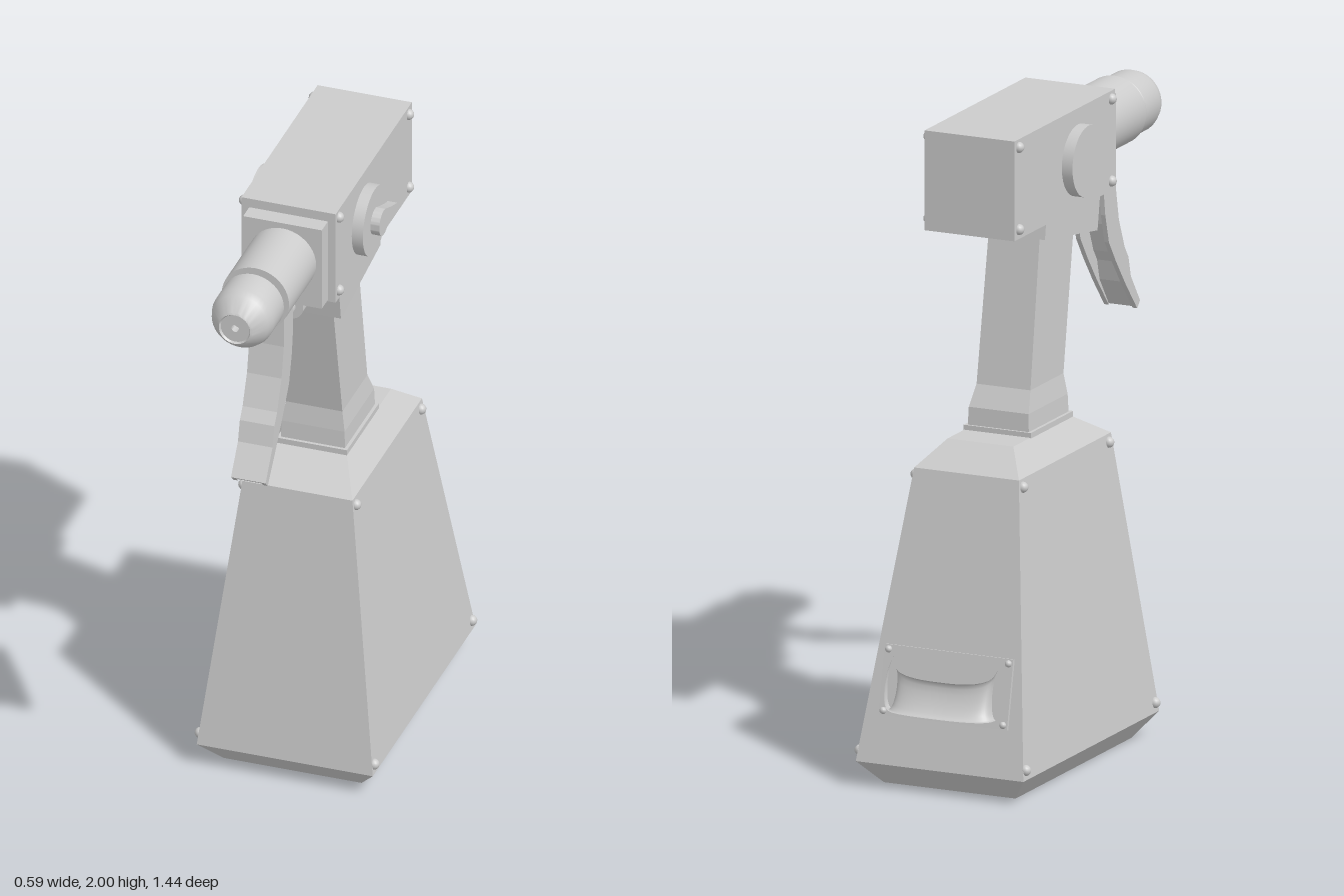
import * as THREE from 'three';
import { toCreasedNormals } from 'three/addons/utils/BufferGeometryUtils.js';

const grey = new THREE.MeshStandardMaterial({ color: 0xcccccc });
const HEAD_Y = 1.845;

export function createModel() {
  const model = new THREE.Group();
  const add = (name, geometry, parent = model) => {
    const mesh = new THREE.Mesh(geometry, grey);
    mesh.name = name;
    parent.add(mesh);
    return mesh;
  };

  // Stack of rectangular sections [y, halfWidth, zBack, zFront]
  const loft = (levels) => {
    const pos = [], idx = [];
    for (const [y, hx, z0, z1] of levels) pos.push(hx, y, z1, hx, y, z0, -hx, y, z0, -hx, y, z1);
    for (let l = 0; l < levels.length - 1; l++) {
      for (let i = 0; i < 4; i++) {
        const a = l * 4 + i, b = l * 4 + (i + 1) % 4;
        idx.push(a, b, b + 4, a, b + 4, a + 4);
      }
    }
    const t = (levels.length - 1) * 4;
    idx.push(0, 2, 1, 0, 3, 2, t, t + 1, t + 2, t, t + 2, t + 3);
    const g = new THREE.BufferGeometry();
    g.setAttribute('position', new THREE.Float32BufferAttribute(pos, 3));
    g.setIndex(idx);
    const flat = g.toNonIndexed();
    flat.computeVertexNormals();
    return flat;
  };

  // Side profile of [z, y] points extruded across x
  const slab = (points, x0, x1) => {
    const shape = new THREE.Shape(points.map(([z, y]) => new THREE.Vector2(z, y)));
    return new THREE.ExtrudeGeometry(shape, { depth: x1 - x0, bevelEnabled: false })
      .rotateY(-Math.PI / 2).translate(x1, 0, 0);
  };

  // Turned part along z from [radius, z] points
  const turned = (points) => toCreasedNormals(
    new THREE.LatheGeometry(points.map(([r, z]) => new THREE.Vector2(r, z)), 40).rotateX(Math.PI / 2), 0.5);

  const screws = new THREE.Group();
  screws.name = 'screws';
  model.add(screws);
  const screw = (x, y, z, r = 0.017) =>
    add('screw', new THREE.SphereGeometry(r, 14, 10), screws).position.set(x, y, z);

  // Tank and handle
  add('tank', loft([
    [0, 0.22, -0.59, 0.2], [0.075, 0.28, -0.66, 0.27],
    [0.955, 0.175, -0.475, 0.155], [1.03, 0.11, -0.38, 0.02]]));
  add('handleCollar', loft([[1.02, 0.112, -0.265, 0.025], [1.045, 0.112, -0.265, 0.025]]));
  add('handle', loft([
    [1.04, 0.102, -0.258, 0.015], [1.1, 0.1, -0.255, 0.012],
    [1.165, 0.09, -0.222, 0.004], [1.64, 0.085, -0.146, 0.09]]));

  // Head with its tilted mounting plate
  add('mountingPlate', slab([[0.165, 1.7], [0.145, 1.58], [-0.215, 1.635], [-0.205, 1.7]], -0.135, 0.135));
  add('head', loft([[1.69, 0.15, -0.455, 0.235], [2, 0.15, -0.455, 0.235]]));
  add('headFrontPlate', loft([[1.695, 0.125, 0.23, 0.29], [1.97, 0.125, 0.23, 0.29]]));

  // Barrel and nozzle
  const barrel = add('barrel', turned([
    [0, 0.28], [0.107, 0.28], [0.107, 0.535], [0.076, 0.535], [0.076, 0.56], [0, 0.56]]));
  const nozzle = add('nozzle', turned([
    [0, 0.55], [0.092, 0.55], [0.098, 0.556], [0.098, 0.65], [0.09, 0.675],
    [0.056, 0.722], [0.05, 0.725], [0.046, 0.718], [0.012, 0.718], [0.012, 0.69], [0, 0.69]]));
  barrel.position.y = nozzle.position.y = HEAD_Y;

  // Side discs and the pointer knob on the left
  for (const s of [-1, 1]) {
    const disc = new THREE.CylinderGeometry(0.11, 0.11, 0.045, 48).rotateZ(Math.PI / 2);
    add('sideDisc', disc).position.set(s * 0.163, HEAD_Y - 0.005, -0.02);
  }
  const knobShape = new THREE.Shape();
  knobShape.moveTo(-0.12, 0);
  knobShape.quadraticCurveTo(-0.07, -0.015, -0.02, -0.037);
  knobShape.absarc(0, 0, 0.042, -2.07, 2.07, false);
  knobShape.quadraticCurveTo(-0.07, 0.015, -0.12, 0);
  const knob = new THREE.ExtrudeGeometry(knobShape, { depth: 0.04, bevelEnabled: false, curveSegments: 20 })
    .rotateY(-Math.PI / 2);
  add('pointerKnob', toCreasedNormals(knob, 0.5)).position.set(0.214, HEAD_Y - 0.005, -0.02);

  // Trigger: a front strip with a flange on each side, open at the back
  const front = [[0.43, 1.77], [0.435, 1.63], [0.455, 1.53], [0.495, 1.435], [0.52, 1.4], [0.537, 1.335], [0.6, 1.245]];
  const back = [[0.58, 1.225], [0.5, 1.32], [0.435, 1.405], [0.387, 1.475], [0.362, 1.565], [0.35, 1.65], [0.35, 1.77]];
  const trigger = new THREE.Group();
  trigger.name = 'trigger';
  model.add(trigger);
  add('triggerFlange', slab([...front, ...back], 0.04, 0.055), trigger);
  add('triggerFlange', slab([...front, ...back], -0.055, -0.04), trigger);
  const inner = front.map(([z, y]) => [z - 0.02, y - 0.015]).reverse();
  add('triggerFront', slab([...front, ...inner], -0.04, 0.04), trigger);

  // Push rod behind the trigger
  const rod = (name, r, z0, z1) => add(name, turned([[0, z0], [r, z0], [r, z1], [0, z1]])).position.y = 1.64;
  rod('pushRod', 0.018, 0.18, 0.43);
  rod('pushRodSocket', 0.042, 0.1, 0.222);

  // Backplate and bowed grip, laid on the sloping back of the tank
  const pull = new THREE.Group();
  pull.name = 'rearPull';
  pull.position.set(0, 0.325, -0.6075);
  pull.rotation.x = Math.atan(0.21);
  model.add(pull);
  add('rearPlate', new THREE.BoxGeometry(0.43, 0.215, 0.02), pull);
  for (const sx of [-1, 1]) for (const sy of [-1, 1]) {
    const s = add('rearPlateScrew', new THREE.SphereGeometry(0.011, 12, 8), pull);
    s.position.set(sx * 0.2, sy * 0.093, -0.01);
  }
  add('rearGrip', bowedGrip(), pull);

  // Screws on tank and head sides
  for (const s of [-1, 1]) {
    for (const [y, z] of [[0.105, 0.248], [0.105, -0.637], [0.93, 0.133], [0.93, -0.455]])
      screw(s * (0.28 - 0.119 * (y - 0.075)), y, z);
    for (const y of [1.72, 1.975]) for (const z of [0.208, -0.425]) screw(s * 0.15, y, z);
  }
  return model;
}

// Oval sections swept along a bow; tall at the ends, low and leaning outwards in the middle
function bowedGrip() {
  const N = 32, M = 16, pos = [], idx = [];
  for (let i = 0; i <= N; i++) {
    const a = Math.PI * i / N;
    const bow = Math.pow(Math.sin(a), 0.55);
    const cx = -0.175 * Math.sign(Math.cos(a)) * Math.pow(Math.abs(Math.cos(a)), 0.75);
    const cz = -0.072 * bow;
    const cy = 0.005 - 0.045 * bow;
    const half = 0.085 - 0.03 * bow;
    const outX = -Math.cos(a), outZ = -Math.sin(a);
    for (let j = 0; j < M; j++) {
      const t = 2 * Math.PI * j / M;
      const w = 0.019 * Math.cos(t), h = half * Math.sin(t);
      const lean = 0.25 * Math.sin(a) * h;
      pos.push(cx + outX * w, cy + h, cz + outZ * w + lean);
    }
  }
  for (let i = 0; i < N; i++) {
    for (let j = 0; j < M; j++) {
      const a = i * M + j, b = i * M + (j + 1) % M;
      idx.push(a, a + M, b, b, a + M, b + M);
    }
  }
  const g = new THREE.BufferGeometry();
  g.setAttribute('position', new THREE.Float32BufferAttribute(pos, 3));
  g.setIndex(idx);
  g.computeVertexNormals();
  return g;
}
